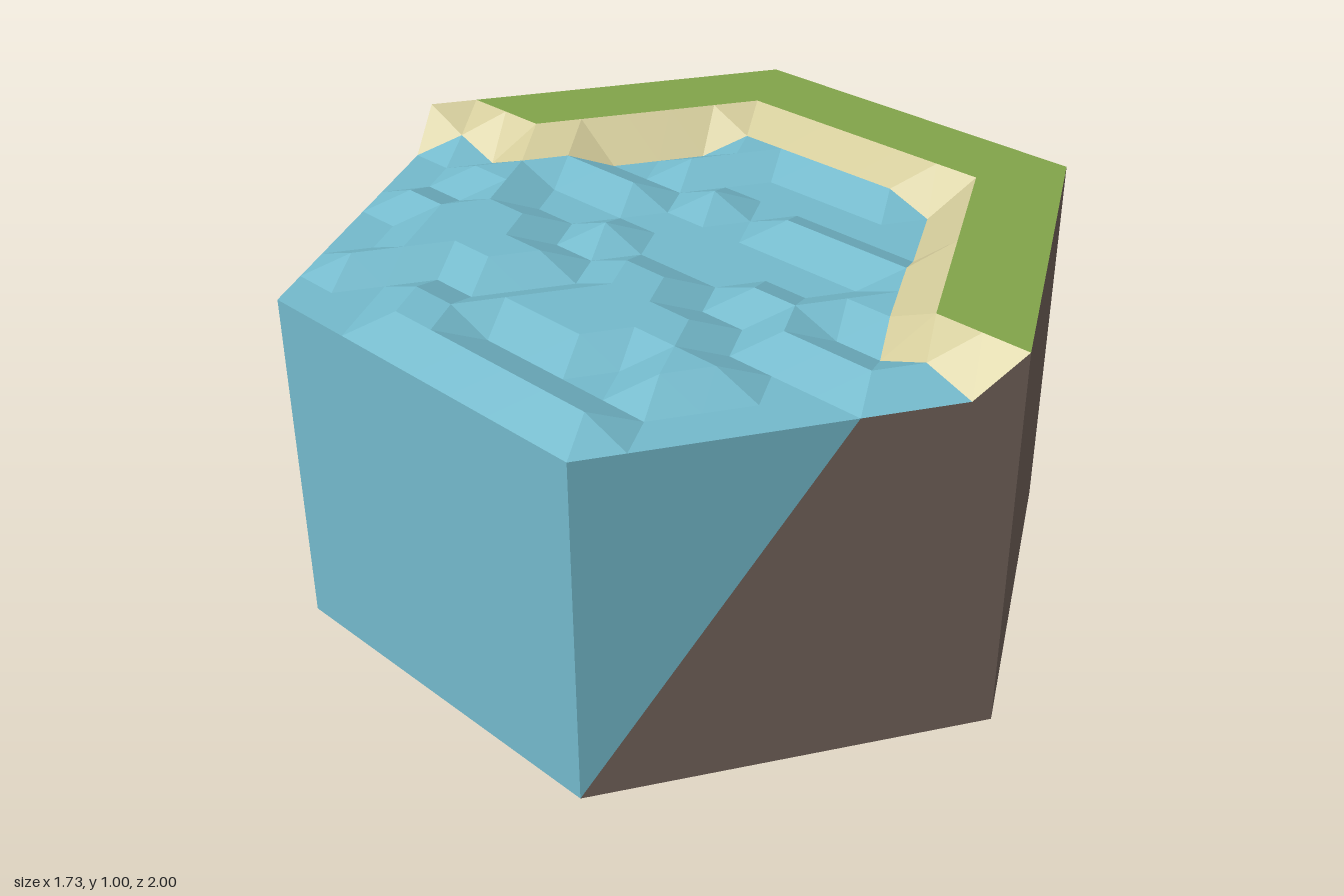
import * as THREE from 'three';

const N = 8;                         // lattice steps from centre to corner
const DX = Math.sqrt(3) / 2 / N;     // column spacing
const DZ = 1 / N;                    // spacing along a column
const W = Math.sqrt(3) / 2;          // half width of the hexagon
const LAND = 1, WATER = 0.9, WAVE = 0.945;

const material = (name, color) => {
  const m = new THREE.MeshStandardMaterial({ color, flatShading: true, side: THREE.DoubleSide });
  m.name = name;
  return m;
};

// Repeatable random number for a lattice point
function hash(i, k) {
  let h = (Math.imul(i + 31, 374761393) + Math.imul(Math.round(k * 2) + 57, 668265263)) | 0;
  h = Math.imul(h ^ (h >>> 13), 1274126177);
  return ((h ^ (h >>> 16)) >>> 0) / 4294967296;
}

// Land wraps round the +x side; the bay opens towards -x
function isLand(i, k) {
  if (i >= 6) return true;
  if (i < 0) return false;
  if (i === 0 && k < 0) return k === -N;
  return Math.abs(k) >= 6 - i / 2;
}

// Column i, row k (in lattice steps) to a surface point
function point(i, k) {
  const edge = i === -N || Math.abs(k) === N - Math.abs(i) / 2;
  let y = WATER;
  if (isLand(i, k)) y = LAND;
  else if (!edge && hash(i, k) > 0.5) y = WAVE;
  return new THREE.Vector3(i * DX, y, k * DZ);
}

function meshFrom(name, points, mat) {
  const geometry = new THREE.BufferGeometry().setFromPoints(points);
  geometry.computeVertexNormals();
  const mesh = new THREE.Mesh(geometry, mat);
  mesh.name = name;
  return mesh;
}

// Triangle fan with its corners anticlockwise as seen from outside
function fan(corners) {
  const v = corners.map((c) => new THREE.Vector3(...c));
  const out = [];
  for (let n = 1; n < v.length - 1; n++) out.push(v[0], v[n], v[n + 1]);
  return out;
}

export function createModel() {
  const group = new THREE.Group();
  group.name = 'hexCoastTile';
  const grass = material('grass', 0x82a54a);
  const sand = material('sand', 0xd3cb9a);
  const water = material('water', 0x74bacc);
  const earth = material('earth', 0x75655d);

  // Top surface: sort lattice triangles into grass, beach and water
  const top = { grass: [], sand: [], water: [] };
  const addTriangle = (a, b, c) => {
    const high = [a, b, c].filter((p) => p.y === LAND).length;
    const list = high === 3 ? top.grass : high > 0 ? top.sand : top.water;
    const up = (b.z - a.z) * (c.x - a.x) - (b.x - a.x) * (c.z - a.z) > 0;
    list.push(a, ...(up ? [b, c] : [c, b]));
  };
  for (let i = -N; i < N; i++) {
    const long = i < 0 ? i + 1 : i;      // longer of the two columns
    const short = i < 0 ? i : i + 1;
    const end = N - Math.abs(long) / 2;
    for (let k = -end; k < end; k++) {
      addTriangle(point(long, k), point(long, k + 1), point(short, k + 0.5));
      if (k + 1 < end) addTriangle(point(long, k + 1), point(short, k + 0.5), point(short, k + 1.5));
    }
  }
  group.add(
    meshFrom('grassTop', top.grass, grass),
    meshFrom('beach', top.sand, sand),
    meshFrom('waterSurface', top.water, water),
  );

  // Side walls; the tile is open underneath
  group.add(meshFrom('earthWallLeft', fan([[W, 0, 0.5], [W, 0, -0.5], [W, LAND, -0.5], [W, LAND, 0.5]]), earth));
  group.add(meshFrom('waterWallRight', fan([[-W, 0, -0.5], [-W, 0, 0.5], [-W, WATER, 0.5], [-W, WATER, -0.5]]), water));

  const slope = (x) => 1 - Math.abs(x) * 0.5 / W;   // z of the slanted walls
  const split = -3 * DX;                            // where earth meets water on the rim
  for (const s of [1, -1]) {
    const side = s > 0 ? 'Front' : 'Back';
    const wall = (name, outline, mat) => {
      const corners = outline.map(([x, y]) => [x, y, s * slope(x)]);
      if (s < 0) corners.reverse().unshift(corners.pop());
      group.add(meshFrom(name + side, fan(corners), mat));
    };
    wall('earthWall', [[0, 0], [W, 0], [W, LAND], [0, LAND]], earth);
    wall('shoreWall', [[0, 0], [0, LAND], [-DX, WATER], [split, WATER], [-W, 0]], earth);
    wall('waterWall', [[-W, 0], [split, WATER], [-W, WATER]], water);
  }
  return group;
}
